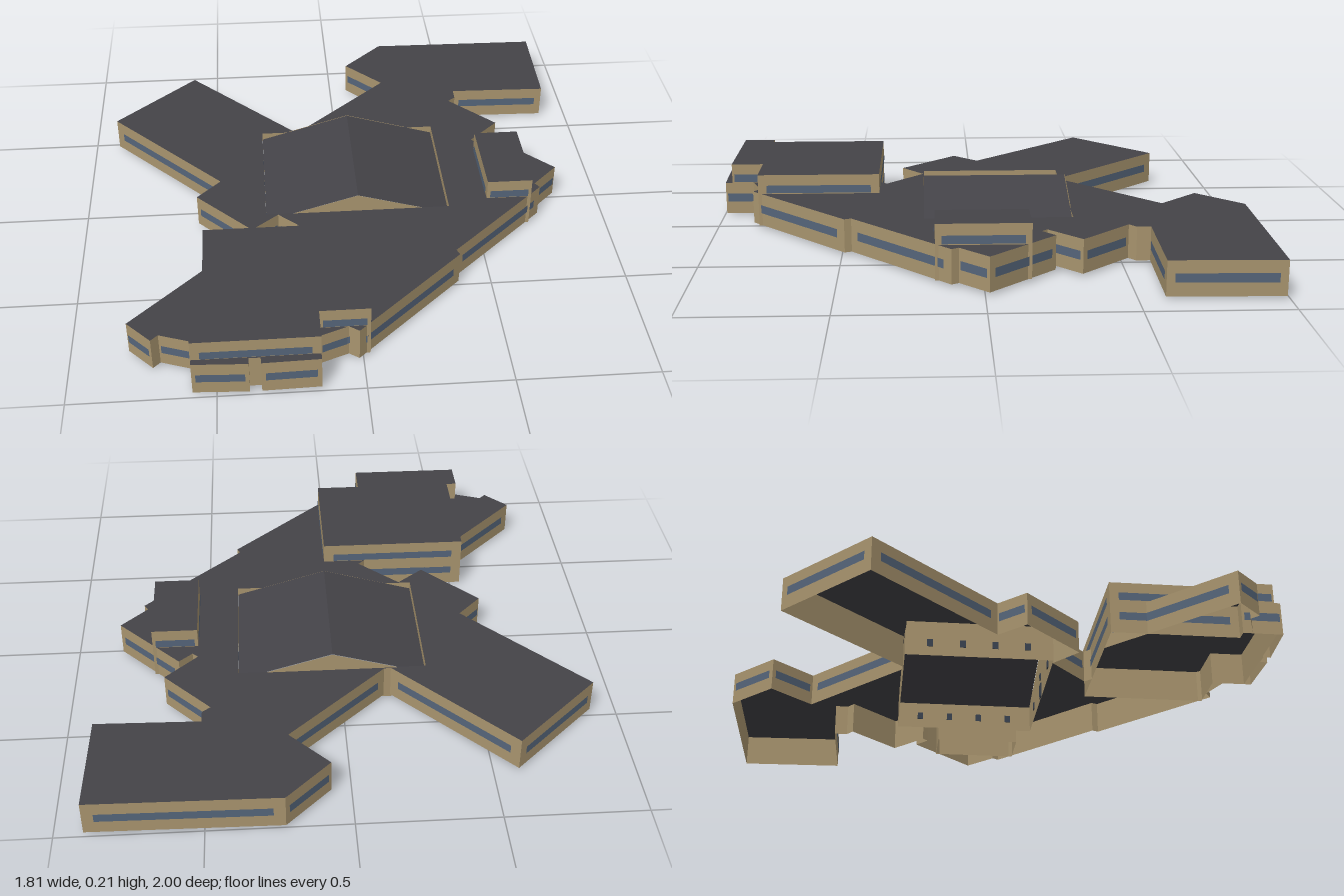
import * as THREE from 'three';

const mat = (name, color, side = THREE.DoubleSide) => {
  const m = new THREE.MeshStandardMaterial({ color, side });
  m.name = name;
  return m;
};

export function createModel() {
  const wallMat = mat('tan wall', 0xa8946e);
  const roofMat = mat('dark roof', 0x444348);
  const glassMat = mat('window band', 0x55657a, THREE.FrontSide);
  const doorMat = mat('dark opening', 0x3a4350);

  const model = new THREE.Group();
  model.name = 'building';
  const add = (parent, name, geo, material) => {
    const m = new THREE.Mesh(geo, material);
    m.name = name;
    parent.add(m);
    return m;
  };

  // Upright wall ring following a closed [x, z] outline
  function wallRing(pts, y0, y1) {
    const pos = [];
    pts.forEach(([ax, az], i) => {
      const [bx, bz] = pts[(i + 1) % pts.length];
      pos.push(bx, y0, bz, ax, y0, az, ax, y1, az, bx, y0, bz, ax, y1, az, bx, y1, bz);
    });
    const g = new THREE.BufferGeometry();
    g.setAttribute('position', new THREE.Float32BufferAttribute(pos, 3));
    g.computeVertexNormals();
    return g;
  }

  // Flat roof, optionally with a rectangular opening
  function flatRoof(pts, y, hole) {
    const v = (a) => a.map(([x, z]) => new THREE.Vector2(x, -z));
    const shape = new THREE.Shape(v(pts));
    if (hole) shape.holes.push(new THREE.Path(v(hole)));
    return new THREE.ShapeGeometry(shape).rotateX(-Math.PI / 2).translate(0, y, 0);
  }

  // Ribbon window on the outside of every wall that is long enough
  function windowBands(parent, pts, y, h) {
    pts.forEach(([ax, az], i) => {
      const [bx, bz] = pts[(i + 1) % pts.length];
      const dx = bx - ax, dz = bz - az, len = Math.hypot(dx, dz);
      if (len < 0.1) return;
      const nx = dz / len, nz = -dx / len;
      const w = len - 2 * Math.min(0.04, len * 0.07);
      const m = add(parent, 'windowBand', new THREE.PlaneGeometry(w, h), glassMat);
      m.position.set((ax + bx) / 2 + nx * 0.003, y, (az + bz) / 2 + nz * 0.003);
      m.rotation.y = Math.atan2(nx, nz);
    });
  }

  const rect = (x0, x1, z0, z1) => [[x0, z0], [x1, z0], [x1, z1], [x0, z1]];

  function block(name, pts, y0, y1, bands, hole) {
    const g = new THREE.Group();
    g.name = name;
    model.add(g);
    add(g, 'walls', wallRing(pts, y0, y1), wallMat);
    add(g, 'roof', flatRoof(pts, y1, hole), roofMat);
    bands.forEach(([y, h]) => windowBands(g, pts, y, h));
    return g;
  }

  // Single-storey body with its angled wings
  const body = [
    [0.23, -1], [0.9, -0.99], [0.89, -0.59], [0.51, -0.6], [0.51, -0.55], [0.48, -0.525],
    [0.65, -0.345], [0.53, -0.23], [0.55, -0.21], [0.6, -0.255], [0.83, -0.015], [0.73, 0.085],
    [0.745, 0.11], [0.37, 0.465], [0.38, 0.49], [-0.015, 0.865], [-0.05, 0.84], [-0.15, 0.88],
    [-0.15, 0.99], [-0.35, 0.995], [-0.35, 0.968], [-0.39, 0.968], [-0.39, 0.995], [-0.58, 0.985],
    [-0.58, 0.875], [-0.69, 0.835], [-0.715, 0.86], [-0.8, 0.77], [-0.41, 0.375], [-0.14, 0.375],
    [-0.115, 0.35], [-0.265, 0.207], [-0.365, 0.29], [-0.57, 0.075], [-0.48, -0.02],
    [-0.905, -0.475], [-0.59, -0.775], [-0.18, -0.343], [-0.155, -0.345], [0.21, -0.69], [0.07, -0.84],
  ];
  const opening = rect(-0.31, 0.38, -0.338, 0.203);
  const main = block('mainBody', body, 0.01, 0.135, [[0.075, 0.032]], opening);
  add(main, 'openingRim', wallRing(opening, 0.1, 0.135), wallMat);

  // Two-storey front block with its projecting bay
  block('frontBlock', [
    [-0.54, 0.375], [0.025, 0.375], [0.025, 0.84], [-0.15, 0.84],
    [-0.15, 0.963], [-0.58, 0.963], [-0.58, 0.84], [-0.54, 0.84],
  ], 0.01, 0.21, [[0.154, 0.03], [0.075, 0.03]]);

  // Small raised block on the side corner
  block('sideBlock', rect(0.53, 0.7, -0.165, 0.165), 0.01, 0.21, [[0.154, 0.03]]);

  // Central gabled hall, its eaves sunk below the surrounding roof
  const hall = new THREE.Group();
  hall.name = 'gabledHall';
  model.add(hall);
  const x0 = -0.309, x1 = 0.379, xm = 0.035, eave = 0.106, ridge = 0.205;
  const gable = new THREE.Shape([[x0, 0], [x1, 0], [x1, eave], [xm, ridge], [x0, eave]]
    .map(([x, y]) => new THREE.Vector2(x, y)));
  for (const z of [-0.341, 0.204]) {
    add(hall, 'gableWall', new THREE.ShapeGeometry(gable).translate(0, 0, z), wallMat);
  }
  for (const x of [x0, x1]) {
    const g = new THREE.PlaneGeometry(0.545, eave).rotateY(Math.PI / 2);
    add(hall, 'sideWall', g.translate(x, eave / 2, -0.0685), wallMat);
  }
  for (const s of [-1, 1]) {
    const half = (x1 - x0) / 2, rise = ridge - eave;
    const g = new THREE.PlaneGeometry(Math.hypot(half, rise), 0.541).rotateX(-Math.PI / 2);
    g.rotateZ(-s * Math.atan2(rise, half));
    add(hall, 'roofSlope', g.translate(xm + s * half / 2, (eave + ridge) / 2, -0.0675), roofMat);
  }
  // Door and small windows of the hall
  const frontOpening = (name, x, y, w, h) =>
    add(hall, name, new THREE.BoxGeometry(w, h, 0.006).translate(x, y, 0.203), doorMat);
  frontOpening('door', xm, 0.03, 0.04, 0.055);
  frontOpening('gableWindow', xm, 0.09, 0.022, 0.025);
  for (const s of [-1, 1]) frontOpening('hallWindow', xm + s * 0.2, 0.05, 0.022, 0.028);
  for (const x of [x0, x1]) {
    for (let i = 0; i < 4; i++) {
      const g = new THREE.BoxGeometry(0.006, 0.028, 0.022);
      add(hall, 'hallWindow', g.translate(x, 0.05, -0.25 + i * 0.12), doorMat);
    }
  }
  return model;
}
